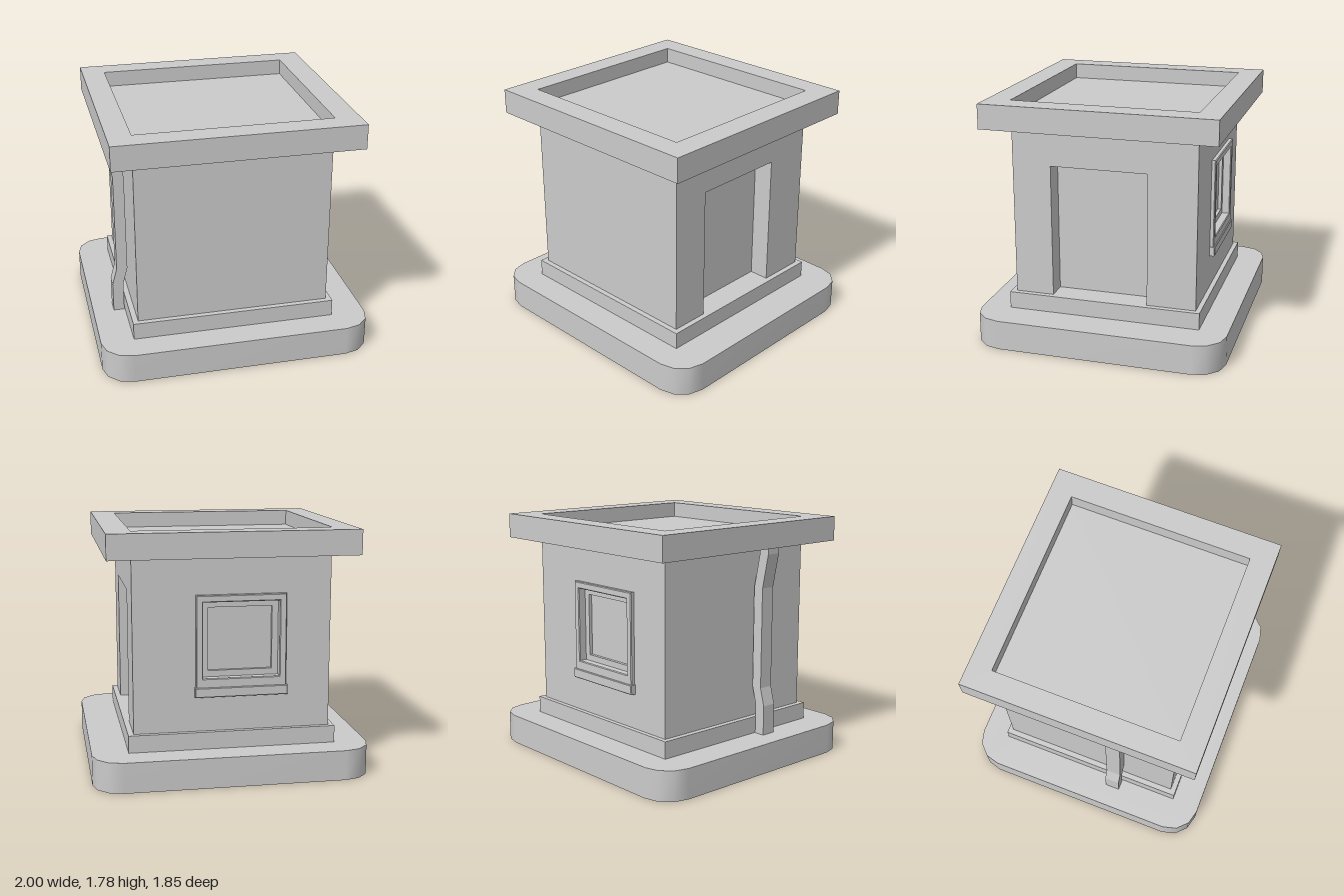
import * as THREE from 'three';

const mat = new THREE.MeshStandardMaterial({ color: 0xcccccc });
const thinMat = new THREE.MeshStandardMaterial({ color: 0xcccccc, side: THREE.DoubleSide });

export function createModel() {
  const group = new THREE.Group();

  const add = (name, geometry, material = mat) => {
    const mesh = new THREE.Mesh(geometry, material);
    mesh.name = name;
    group.add(mesh);
    return mesh;
  };

  // Box given by its limits on each axis
  const box = (name, [x0, x1], [y0, y1], [z0, z1]) =>
    add(name, new THREE.BoxGeometry(x1 - x0, y1 - y0, z1 - z0))
      .position.set((x0 + x1) / 2, (y0 + y1) / 2, (z0 + z1) / 2);

  const poly = (pts) => pts.map(([x, y]) => new THREE.Vector2(x, y));
  const rect = (x0, x1, y0, y1) => [[x0, y0], [x1, y0], [x1, y1], [x0, y1]];

  // Flat panel with an optional hole, extruded along +z
  const panel = (outline, hole, depth, bevel = 0) => {
    const shape = new THREE.Shape(poly(outline));
    if (hole) shape.holes.push(new THREE.Path(poly(hole)));
    const geo = new THREE.ExtrudeGeometry(shape, {
      depth: depth - 2 * bevel, bevelEnabled: bevel > 0, bevelSegments: 1,
      bevelSize: bevel, bevelThickness: bevel, bevelOffset: -bevel,
    });
    return geo.translate(0, 0, bevel);
  };

  // Foundation: hollow rounded slab, open underneath
  const R = 0.21, HX = 1, HZ = 0.925, TOP = 0.22, STEPS = 3;
  const ring = [];
  [[1, 1], [-1, 1], [-1, -1], [1, -1]].forEach(([sx, sz], corner) => {
    for (let i = 0; i <= STEPS; i++) {
      const a = (corner + i / STEPS) * Math.PI / 2;
      ring.push([sx * (HX - R) + R * Math.cos(a), sz * (HZ - R) + R * Math.sin(a)]);
    }
  });
  add('foundationTop', new THREE.ShapeGeometry(new THREE.Shape(poly(ring)))
    .rotateX(-Math.PI / 2).translate(0, TOP, 0), thinMat);

  const positions = [], index = [];
  ring.forEach(([x, z], i) => {
    positions.push(x, 0, z, x, TOP, z);
    const a = 2 * i, b = 2 * ((i + 1) % ring.length);
    index.push(a, a + 1, b, b, a + 1, b + 1);
  });
  const skirt = new THREE.BufferGeometry();
  skirt.setAttribute('position', new THREE.Float32BufferAttribute(positions, 3));
  skirt.setIndex(index);
  skirt.computeVertexNormals();
  add('foundationSide', skirt, thinMat);

  // Plinth course below the walls
  box('plinth', [-0.76, 0.74], [TOP, 0.345], [-0.715, 0.715]);

  // Main body, set back behind the door and window walls
  box('body', [-0.72, 0.55], [0.345, 1.605], [-0.625, 0.675]);

  // Side wall with the doorway cut out
  const doorWall = add('doorWall', panel([
    [-0.675, 0.345], [-0.39, 0.345], [-0.39, 1.325], [0.32, 1.325],
    [0.32, 0.345], [0.68, 0.345], [0.68, 1.605], [-0.675, 1.605],
  ], null, 0.15));
  doorWall.rotation.y = Math.PI / 2;
  doorWall.position.x = 0.55;

  // Back wall with window opening, surround, inner sash and sill
  const opening = rect(-0.345, 0.205, 0.735, 1.28);
  add('backWall', panel(rect(-0.72, 0.55, 0.345, 1.605), opening, 0.055)).position.z = -0.68;
  add('windowFrame', panel(rect(-0.395, 0.255, 0.62, 1.33), opening, 0.036, 0.006)).position.z = -0.71;
  add('windowSash', panel(opening, rect(-0.3, 0.16, 0.78, 1.235), 0.025)).position.z = -0.65;
  add('windowSill', panel(rect(-0.405, 0.265, 0.6, 0.67), null, 0.046, 0.005)).position.z = -0.72;

  // Flat roof with a raised parapet
  box('roofSlab', [-0.89, 0.88], [1.605, 1.67], [-0.85, 0.85]);
  const parapet = add('parapet', panel(
    rect(-0.89, 0.88, -0.85, 0.85), rect(-0.72, 0.7, -0.675, 0.68), 0.115));
  parapet.rotation.x = -Math.PI / 2;
  parapet.position.y = 1.67;

  // Square downpipe that bends in towards the wall
  const path = [[-0.845, TOP], [-0.845, 0.44], [-0.81, 0.57], [-0.81, 1.31], [-0.86, 1.56], [-0.86, 1.605]];
  const inner = path.map(([x, y]) => [x + 0.08, y]).reverse();
  add('downpipe', panel([...path, ...inner], null, 0.11)).position.z = 0.17;

  return group;
}
